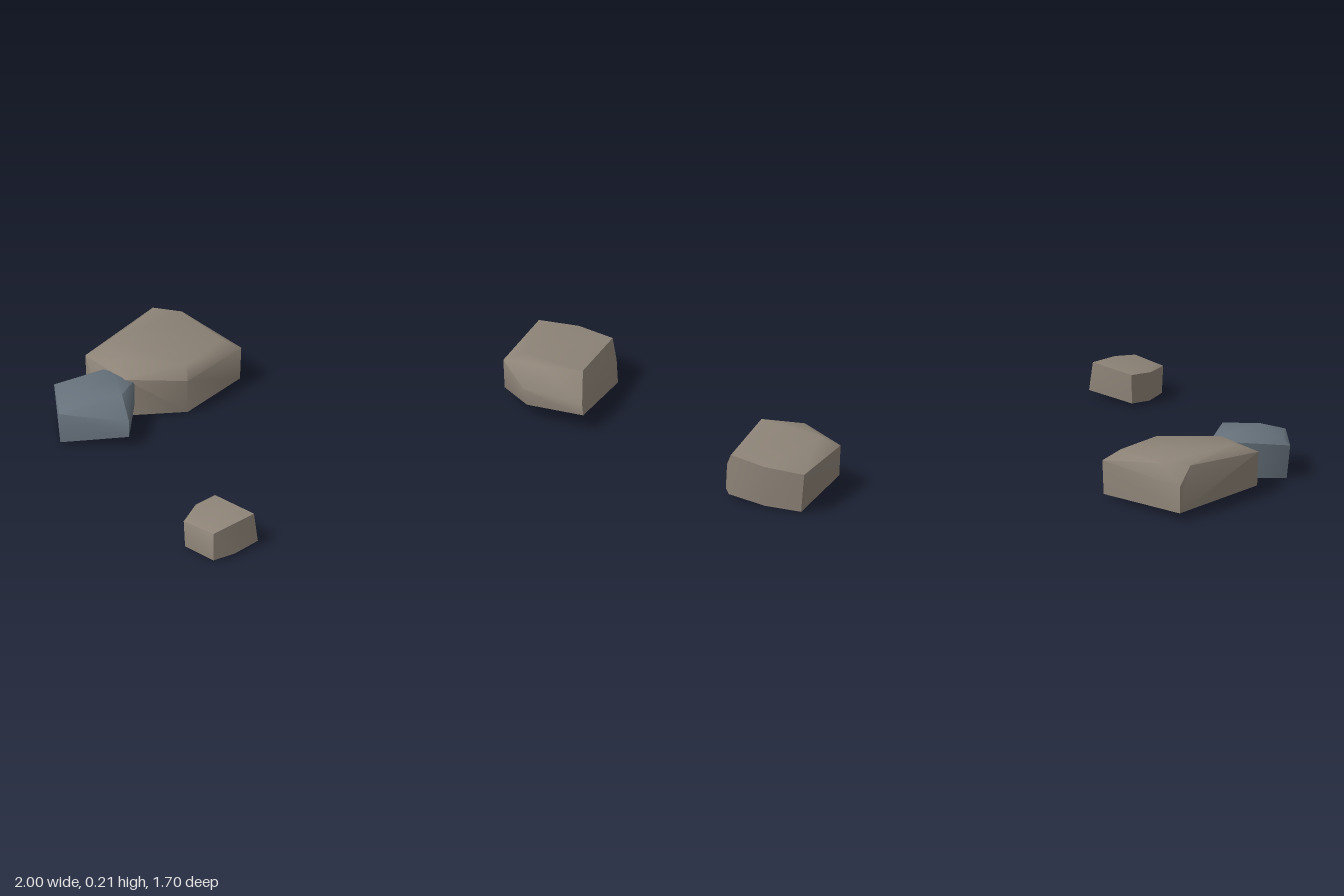
import * as THREE from 'three';
import { ConvexGeometry } from 'three/addons/geometries/ConvexGeometry.js';
import { toCreasedNormals } from 'three/addons/utils/BufferGeometryUtils.js';

const warmStone = new THREE.MeshStandardMaterial({ color: 0x8d8377 });
warmStone.name = 'warmStone';
const blueStone = new THREE.MeshStandardMaterial({ color: 0x66717b });
blueStone.name = 'blueStone';

// A stone is the hull of its lower and upper corners, softly shaded
function stone(name, material, corners) {
  const hull = new ConvexGeometry(corners.map((p) => new THREE.Vector3(...p)));
  const mesh = new THREE.Mesh(toCreasedNormals(hull, 0.95), material);
  mesh.name = name;
  return mesh;
}

export function createModel() {
  const group = new THREE.Group();
  group.name = 'scatteredStones';

  group.add(
    // Large slab on the left
    stone('largeStone', warmStone, [
      [-0.69, 0.03, -0.67], [-0.37, 0.02, -0.47], [-0.52, 0.005, -0.22],
      [-0.75, 0, -0.16], [-0.84, 0.01, -0.19], [-0.91, 0.03, -0.3],
      [-0.69, 0.13, -0.665], [-0.72, 0.2, -0.62], [-0.61, 0.2, -0.61],
      [-0.365, 0.15, -0.47], [-0.43, 0.19, -0.45], [-0.53, 0.185, -0.26],
      [-0.52, 0.14, -0.21], [-0.74, 0.16, -0.145], [-0.77, 0.19, -0.24],
      [-0.915, 0.16, -0.3], [-0.83, 0.2, -0.36],
    ]),
    // Blue-grey stone leaning against the slab
    stone('blueStone', blueStone, [
      [-0.985, 0.0, -0.11], [-0.83, 0.02, -0.2], [-0.71, 0.04, -0.17],
      [-0.69, 0.04, 0.06], [-0.94, 0.01, 0.09],
      [-1.0, 0.13, -0.12], [-0.83, 0.16, -0.21], [-0.71, 0.145, -0.18],
      [-0.69, 0.1, 0.055], [-0.945, 0.125, 0.085], [-0.97, 0.15, -0.1],
      [-0.87, 0.172, -0.01], [-0.73, 0.17, -0.02], [-0.78, 0.172, -0.14],
    ]),
    // Small stone at the front
    stone('smallStone', warmStone, [
      [-0.28, 0.015, 0.59], [-0.1, 0.02, 0.7], [-0.17, 0.01, 0.79],
      [-0.24, 0.005, 0.845], [-0.36, 0.005, 0.76], [-0.335, 0.01, 0.65],
      [-0.28, 0.128, 0.58], [-0.115, 0.13, 0.695], [-0.18, 0.128, 0.785],
      [-0.24, 0.115, 0.842], [-0.25, 0.128, 0.815], [-0.365, 0.11, 0.76],
      [-0.335, 0.124, 0.74], [-0.34, 0.12, 0.65],
    ]),
    // Tilted slab at the back right
    stone('tiltedStone', warmStone, [
      [0.69, 0.005, -0.83], [0.83, 0.01, -0.8], [0.98, 0.02, -0.72],
      [1.0, 0.025, -0.67], [0.93, 0.07, -0.33], [0.71, 0.06, -0.39],
      [0.605, 0.05, -0.52],
      [0.675, 0.155, -0.85], [0.83, 0.165, -0.815], [0.97, 0.175, -0.73],
      [0.995, 0.12, -0.67], [0.925, 0.11, -0.335], [0.915, 0.212, -0.41],
      [0.75, 0.21, -0.425], [0.7, 0.13, -0.38], [0.6, 0.165, -0.52],
      [0.68, 0.2, -0.53],
    ]),
  );
  return group;
}
